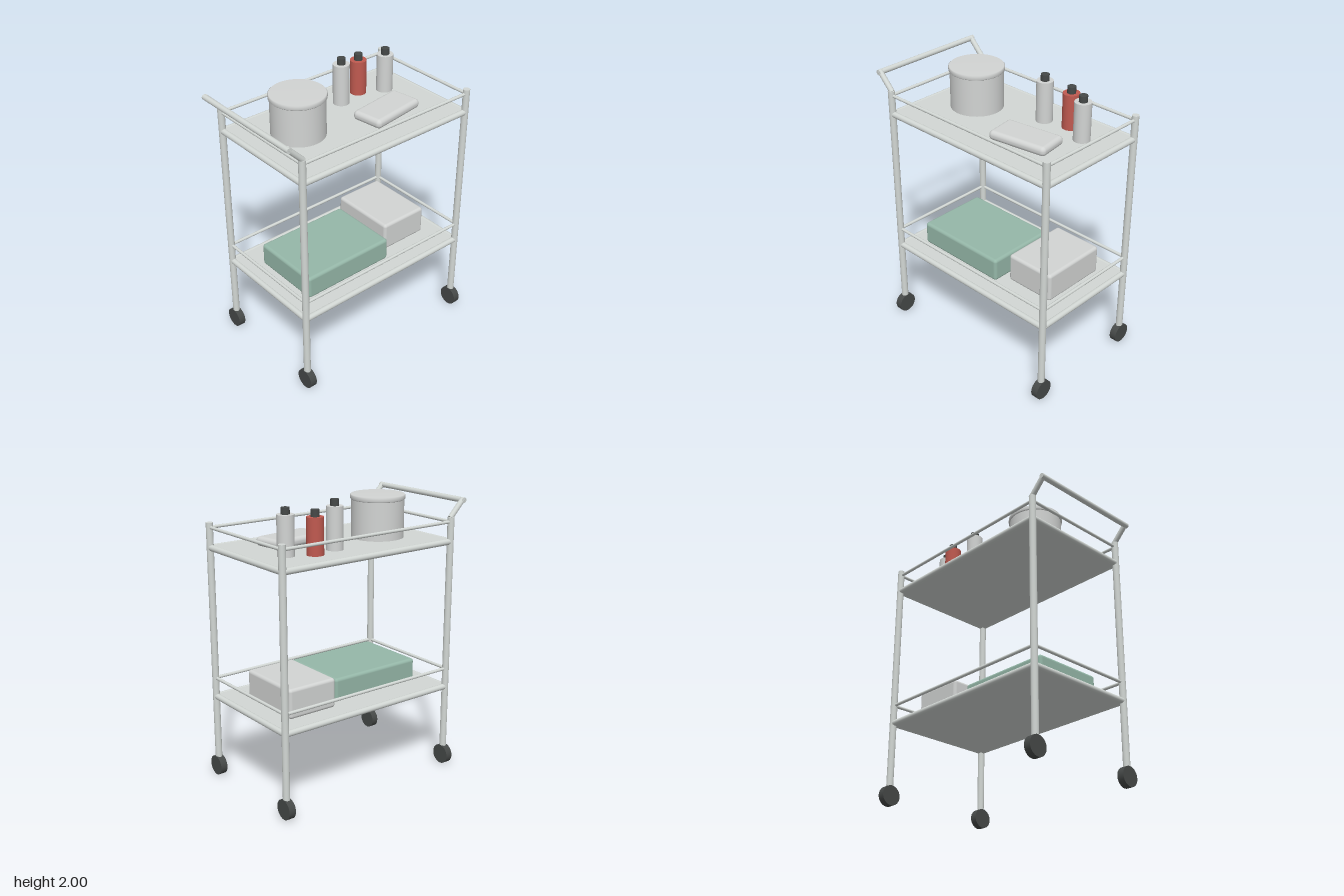
import * as THREE from 'three';
import { RoundedBoxGeometry } from 'three/addons/geometries/RoundedBoxGeometry.js';

export function createModel() {
  const cart = new THREE.Group();
  cart.name = 'servingCart';

  const material = (name, color) => {
    const m = new THREE.MeshStandardMaterial({ color });
    m.name = name;
    return m;
  };
  const metal = material('paleMetal', 0xd2d7d4);
  const ceramic = material('paleGrey', 0xd2d4d3);
  const green = material('sageGreen', 0x95b7a8);
  const red = material('mutedRed', 0xc05a50);
  const dark = material('darkRubber', 0x464948);

  const add = (name, geometry, mat, x = 0, y = 0, z = 0, parent = cart) => {
    const mesh = new THREE.Mesh(geometry, mat);
    mesh.name = name;
    mesh.position.set(x, y, z);
    parent.add(mesh);
    return mesh;
  };

  // Straight round bar between two points
  const up = new THREE.Vector3(0, 1, 0);
  const bar = (name, a, b, r, parent = cart) => {
    const p = new THREE.Vector3(...a), q = new THREE.Vector3(...b);
    const dir = q.clone().sub(p);
    const mid = p.clone().add(q).multiplyScalar(0.5);
    const mesh = add(name, new THREE.CylinderGeometry(r, r, dir.length(), 20), metal, mid.x, mid.y, mid.z, parent);
    mesh.quaternion.setFromUnitVectors(up, dir.normalize());
  };

  const xL = -0.647, xR = 0.744, zP = 0.42;

  // Posts and wheels
  for (const x of [xL, xR]) {
    for (const z of [-zP, zP]) {
      bar('post', [x, 0.12, z], [x, 1.82, z], 0.024);
      add('wheel', new THREE.CylinderGeometry(0.07, 0.07, 0.05, 28), dark, x, 0.07, z).rotation.z = Math.PI / 2;
    }
  }

  // A rectangular loop of bars joining the four posts
  const loop = (name, y, r, parent) => {
    for (const z of [-zP, zP]) bar(name, [xL, y, z], [xR, y, z], r, parent);
    for (const x of [xL, xR]) bar(name, [x, y, -zP], [x, y, zP], r, parent);
  };

  // Two shelves, each a plate in a tubular frame with a guard rail
  for (const [label, y, railY] of [['lowerShelf', 0.594, 0.73], ['upperShelf', 1.65, 1.787]]) {
    const shelf = new THREE.Group();
    shelf.name = label;
    cart.add(shelf);
    add('plate', new THREE.BoxGeometry(xR - xL, 0.036, 2 * zP), metal, (xL + xR) / 2, y, 0, shelf);
    loop('frameTube', y, 0.021, shelf);
    loop('guardRail', railY, 0.011, shelf);
  }

  // Push handle
  const handle = new THREE.Group();
  handle.name = 'handle';
  cart.add(handle);
  for (const z of [-zP, zP]) bar('handleArm', [-0.64, 1.815, z], [-0.754, 1.932, z], 0.019, handle);
  bar('handleGrip', [-0.75, 1.924, -0.438], [-0.75, 1.924, 0.438], 0.019, handle);

  // Lidded pot
  const pot = new THREE.Group();
  pot.name = 'pot';
  pot.position.set(-0.31, 1.668, -0.047);
  cart.add(pot);
  add('potBody', new THREE.CylinderGeometry(0.182, 0.182, 0.27, 48), ceramic, 0, 0.135, 0, pot);
  const lid = [[0, 0], [0.184, 0], [0.19, 0.006], [0.19, 0.028], [0.184, 0.034], [0, 0.034]];
  add('potLid', new THREE.LatheGeometry(lid.map(p => new THREE.Vector2(...p)), 48), ceramic, 0, 0.262, 0, pot);

  // Bottles: x, z, body top, cap top, colour
  for (const [x, z, top, capTop, mat] of [
    [0.173, -0.193, 1.956, 2.0, ceramic],
    [0.363, -0.237, 1.914, 1.96, red],
    [0.531, -0.152, 1.936, 1.98, ceramic],
  ]) {
    const bottle = new THREE.Group();
    bottle.name = 'bottle';
    bottle.position.set(x, 0, z);
    cart.add(bottle);
    const h = top - 1.668, c = capTop - top;
    add('bottleBody', new THREE.CylinderGeometry(0.057, 0.057, h, 28), mat, 0, top - h / 2, 0, bottle);
    add('bottleCap', new THREE.CylinderGeometry(0.029, 0.029, c, 24), dark, 0, top + c / 2, 0, bottle);
  }

  // Folded pack on the upper shelf, set at an angle
  add('pack', new RoundedBoxGeometry(0.43, 0.066, 0.232, 5, 0.03), ceramic, 0.301, 1.703, 0.123).rotation.y = 0.145;

  // Boxes on the lower shelf
  add('greenBox', new RoundedBoxGeometry(0.71, 0.168, 0.524, 4, 0.022), green, -0.162, 0.696, 0.032);
  add('paleBox', new RoundedBoxGeometry(0.374, 0.208, 0.5, 4, 0.022), ceramic, 0.427, 0.716, -0.04);

  return cart;
}
